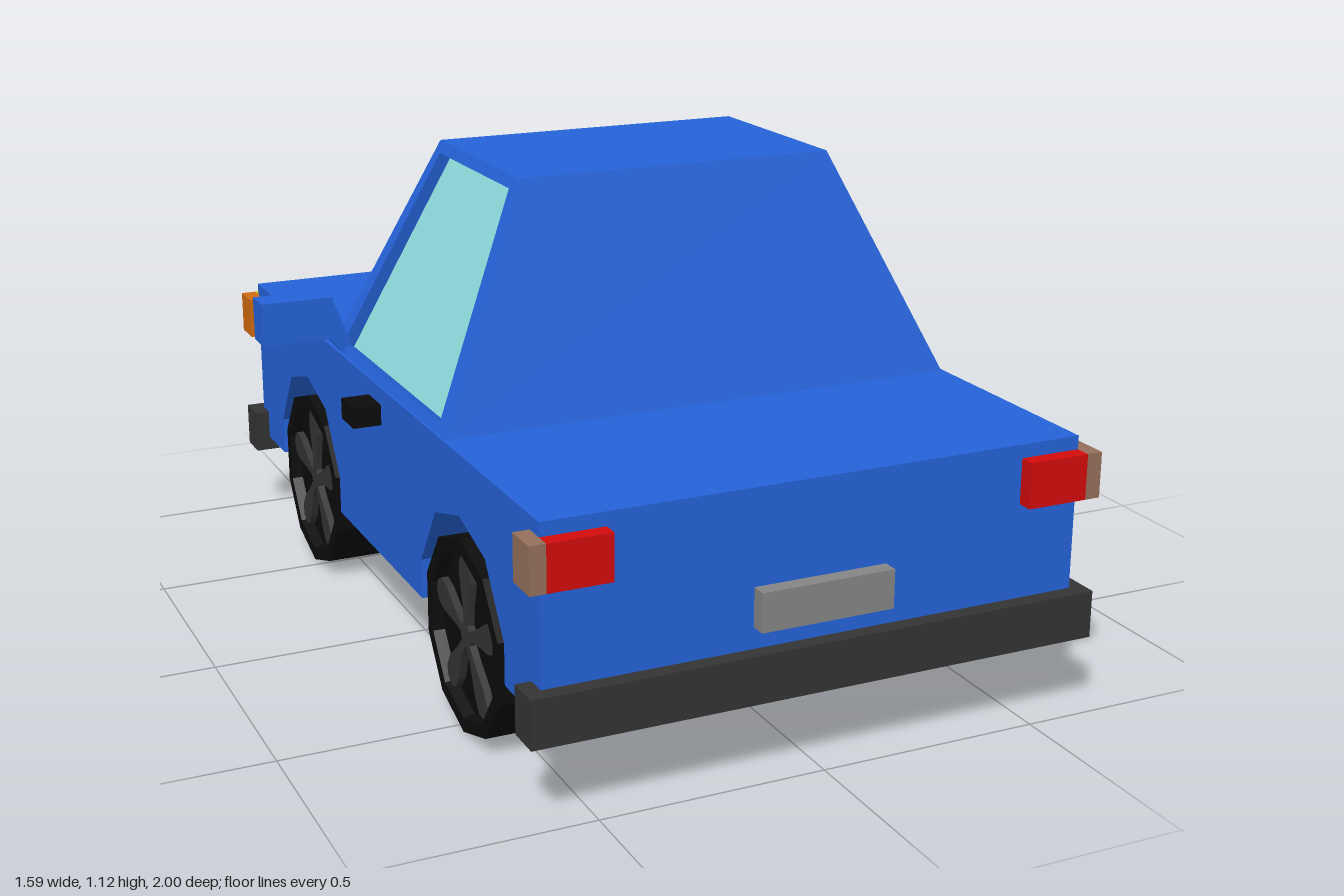
import * as THREE from 'three';

const mat = (name, color, side = THREE.FrontSide) => {
  const m = new THREE.MeshStandardMaterial({ color, side });
  m.name = name;
  return m;
};

export function createModel() {
  const car = new THREE.Group();
  car.name = 'car';
  const blue = mat('blue paint', 0x2563d9);
  const glass = mat('window glass', 0x91dfdf);
  const black = mat('black rubber', 0x0c0c0c);
  const dark = mat('dark grey', 0x343434);
  const grey = mat('plate grey', 0x858585);
  const red = mat('tail light red', 0xd40c0c);
  const yellow = mat('headlight yellow', 0xc9b509);
  const orange = mat('indicator orange', 0xd06c10);
  const brown = mat('rear marker brown', 0x94705c);

  const add = (name, geo, material, parent = car) => {
    const m = new THREE.Mesh(geo, material);
    m.name = name;
    parent.add(m);
    return m;
  };
  // Box given by its limits on each axis
  const box = (name, material, x0, x1, y0, y1, z0, z1) => {
    const m = add(name, new THREE.BoxGeometry(Math.abs(x1 - x0), y1 - y0, Math.abs(z1 - z0)), material);
    m.position.set((x0 + x1) / 2, (y0 + y1) / 2, (z0 + z1) / 2);
    return m;
  };
  const shapeOf = pts => new THREE.Shape(pts.map(p => new THREE.Vector2(...p)));
  const extrude = (shape, depth) => new THREE.ExtrudeGeometry(shape, { depth, bevelEnabled: false });
  const quads = list => {
    const g = new THREE.BufferGeometry();
    const pos = list.flatMap(([a, b, c, d]) => [a, b, c, a, c, d].flatMap(v => v.toArray()));
    g.setAttribute('position', new THREE.Float32BufferAttribute(pos, 3));
    g.computeVertexNormals();
    return g;
  };

  // Lower body: a solid core and two side panels with wheel arches cut out
  const axle = 0.535;
  const W = 0.605, L = 0.965, wellX = 0.42, floorY = 0.2, deckY = 0.61;
  box('bodyCore', blue, -wellX, wellX, floorY, deckY, -L, L);
  const arch = [[-0.243, floorY], [-0.243, 0.29], [-0.145, 0.433], [0, 0.475], [0.145, 0.433], [0.243, 0.29], [0.243, floorY]];
  const outline = [[-L, floorY]];
  for (const c of [-axle, axle]) outline.push(...arch.map(([u, y]) => [u + c, y]));
  outline.push([L, floorY], [L, deckY], [-L, deckY]);
  for (const x of [-W, wellX]) {
    const panel = add('sidePanel', extrude(shapeOf(outline), W - wellX), blue);
    panel.rotation.y = Math.PI / 2;
    panel.position.x = x;
  }

  // Cabin: tapered shell with recessed windows in three of its faces
  const V = (x, y, z) => new THREE.Vector3(x, y, z);
  const top = 1.11, bx = 0.6, tx = 0.37;
  const base = [V(-bx, deckY, 0.45), V(bx, deckY, 0.45), V(bx, deckY, -0.322), V(-bx, deckY, -0.322)];
  const roof = [V(-tx, top, 0.3), V(tx, top, 0.3), V(tx, top, -0.175), V(-tx, top, -0.175)];
  const wall = i => [base[i], base[(i + 1) % 4], roof[(i + 1) % 4], roof[i]];
  const windowWall = (name, c, margin) => {
    const at = (s, t) => c[0].clone().lerp(c[1], s).lerp(c[3].clone().lerp(c[2], s), t);
    const hole = [at(margin, 0.04), at(1 - margin, 0.04), at(1 - margin, 0.95), at(margin, 0.95)];
    const normal = c[1].clone().sub(c[0]).cross(c[3].clone().sub(c[0])).normalize();
    const deep = hole.map(p => p.clone().addScaledVector(normal, -0.028));
    const frame = [];
    for (let i = 0; i < 4; i++) {
      const j = (i + 1) % 4;
      frame.push([c[i], c[j], hole[j], hole[i]], [hole[i], hole[j], deep[j], deep[i]]);
    }
    add(name + 'Frame', quads(frame), blue);
    add(name + 'Glass', quads([deep]), glass);
  };
  add('roofAndBackPanel', quads([roof, wall(0)]), blue);
  windowWall('leftWindow', wall(1), 0.067);
  windowWall('windscreen', wall(2), 0.045);
  windowWall('rightWindow', wall(3), 0.067);

  // Bumpers and number plates at both ends
  for (const e of [-1, 1]) {
    box('bumper', dark, -0.64, 0.64, 0.165, 0.27, e * 0.92, e);
    box('plate', grey, -0.15, 0.15, 0.317, 0.402, e * 0.95, e);
  }

  // Lights, handles and mirrors on each side
  for (const s of [-1, 1]) {
    for (const [e, lamp, marker] of [[1, red, brown], [-1, yellow, orange]]) {
      box(e > 0 ? 'tailLight' : 'headlight', lamp, s * 0.467, s * W, 0.48, 0.58, e * 0.95, e);
      box('sideMarker', marker, s * W, s * 0.64, 0.48, 0.58, e * 0.92, e);
    }
    box('doorHandle', black, s * 0.59, s * 0.67, 0.522, 0.57, -0.04, 0.045);

    const pts = [[0.58, 0.635], [0.597, 0.612], [0.635, 0.655], [0.793, 0.655], [0.793, 0.755], [0.625, 0.755]]
      .map(([x, y]) => [s * x, y]);
    const back = add('mirrorHousing', extrude(shapeOf(pts), 0.06), blue);
    back.position.z = -0.298;
    const rim = shapeOf([[0.635, 0.655], [0.793, 0.655], [0.793, 0.755], [0.625, 0.755]].map(([x, y]) => [s * x, y]));
    rim.holes.push(new THREE.Path([[0.643, 0.668], [0.78, 0.668], [0.78, 0.741], [0.643, 0.741]]
      .map(([x, y]) => new THREE.Vector2(s * x, y))));
    add('mirrorRim', extrude(rim, 0.014), blue).position.z = -0.238;
  }

  // Wheels: ten-sided tyres with a shallow dish and five petal spokes
  const R = 0.218, hubY = R * Math.cos(Math.PI / 10);
  const tyreProfile = [[0, 0], [R, 0], [R, 0.165], [0.187, 0.165], [0.18, 0.14], [0, 0.14]]
    .map(p => new THREE.Vector2(...p));
  const tyreGeo = new THREE.LatheGeometry(tyreProfile, 10).toNonIndexed();
  tyreGeo.rotateY(Math.PI / 2).rotateX(Math.PI / 2).rotateZ(Math.PI / 2);
  // after turning, the wheel's outer face looks along +z with corners front and back
  tyreGeo.rotateZ(-Math.PI / 2 + Math.PI / 2);
  tyreGeo.computeVertexNormals();
  const petal = extrude(shapeOf([[-0.008, 0.015], [0.008, 0.015], [0.014, 0.06], [0.031, 0.125],
    [0.029, 0.16], [0.012, 0.176], [-0.012, 0.176], [-0.029, 0.16], [-0.031, 0.125], [-0.014, 0.06]]), 0.018);
  const hub = new THREE.CylinderGeometry(0.028, 0.028, 0.018, 10).rotateX(Math.PI / 2);
  for (const s of [-1, 1]) for (const z of [-axle, axle]) {
    const wheel = new THREE.Group();
    wheel.name = 'wheel';
    add('tyre', tyreGeo, black, wheel);
    for (let i = 0; i < 5; i++) {
      const p = add('spoke', petal, dark, wheel);
      p.position.z = 0.138;
      p.rotation.z = i * Math.PI * 2 / 5;
    }
    add('hub', hub, dark, wheel).position.z = 0.147;
    wheel.rotation.y = s * Math.PI / 2;
    wheel.position.set(s * 0.44, hubY, z);
    car.add(wheel);
  }
  return car;
}
